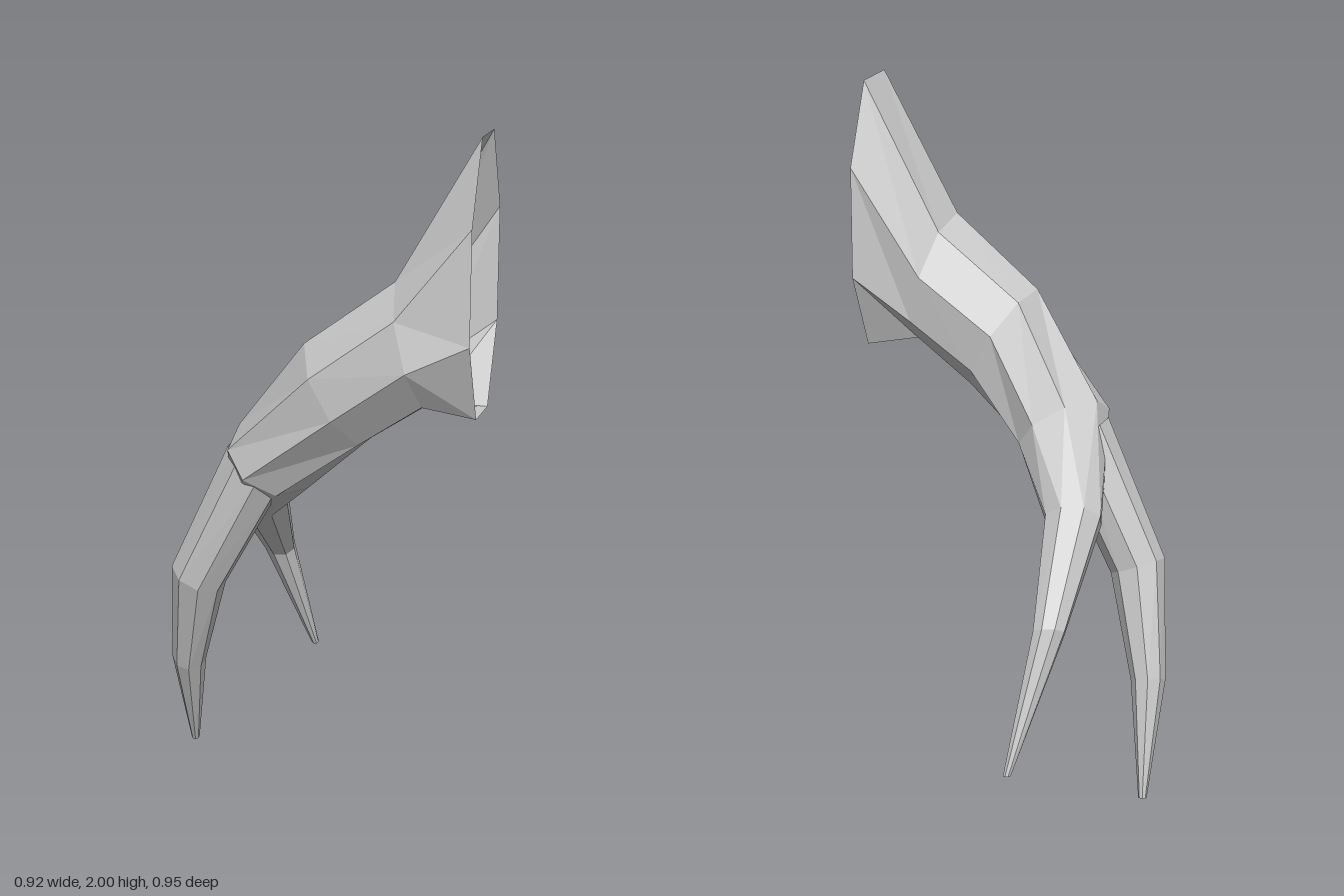
import * as THREE from 'three';

const SIDES = 8;

// Eight-sided tube through rings [centre, half-axis U, half-axis V], capped at its tip.
function limb(name, rings, phase, material) {
  const positions = [], index = [];
  for (const [c, u, v] of rings) {
    for (let k = 0; k < SIDES; k++) {
      const a = ((k + phase) / SIDES) * Math.PI * 2;
      for (let i = 0; i < 3; i++) positions.push(c[i] + u[i] * Math.cos(a) + v[i] * Math.sin(a));
    }
  }
  for (let r = 0; r < rings.length - 1; r++) {
    for (let k = 0; k < SIDES; k++) {
      const n = (k + 1) % SIDES;
      const a = r * SIDES + k, b = r * SIDES + n;
      const c = a + SIDES, d = b + SIDES;
      index.push(a, c, b, b, c, d);
    }
  }
  // Tip cap
  const last = (rings.length - 1) * SIDES;
  for (let k = 1; k < SIDES - 1; k++) index.push(last, last + k + 1, last + k);

  const geometry = new THREE.BufferGeometry();
  geometry.setAttribute('position', new THREE.Float32BufferAttribute(positions, 3));
  geometry.setIndex(index);
  geometry.computeVertexNormals();
  const mesh = new THREE.Mesh(geometry, material);
  mesh.name = name;
  return mesh;
}

export function createModel() {
  const group = new THREE.Group();
  group.name = 'forkedRoot';
  const material = new THREE.MeshStandardMaterial({
    color: 0xcccccc, flatShading: true, side: THREE.DoubleSide,
  });

  // Main root: open flared mouth, bending down and back to a thin tip
  group.add(limb('mainRoot', [
    [[0.41, 1.611, 0.31], [0, 0.415, 0], [-0.052, 0.016, 0.18]],
    [[0.229, 1.419, 0.284], [-0.038, 0.177, -0.038], [-0.053, 0.04, 0.176]],
    [[0.029, 1.259, 0.209], [-0.078, 0.142, -0.045], [-0.061, 0.019, 0.15]],
    [[-0.153, 1.026, 0.104], [-0.055, 0.09, -0.07], [-0.114, 0.005, 0.088]],
    [[-0.195, 0.82, -0.13], [-0.059, 0.039, -0.039], [-0.059, -0.039, 0.039]],
    [[-0.143, 0.565, -0.348], [-0.033, 0.016, -0.025], [-0.033, -0.016, 0.025]],
    [[-0.037, 0.185, -0.464], [-0.008, 0.002, -0.01], [-0.008, -0.002, 0.01]],
  ], 0.5, material));

  // Side root: starts inside the main root and drops to the ground
  group.add(limb('sideRoot', [
    [[-0.205, 0.995, 0.1], [-0.075, 0.06, 0], [0, -0.02, 0.1]],
    [[-0.372, 0.635, 0.03], [-0.077, 0.025, 0], [0, -0.02, 0.075]],
    [[-0.41, 0.325, -0.07], [-0.05, 0.003, 0], [0, -0.02, 0.054]],
    [[-0.402, 0.004, -0.178], [-0.012, 0, 0], [0, -0.004, 0.016]],
  ], 0, material));

  return group;
}
